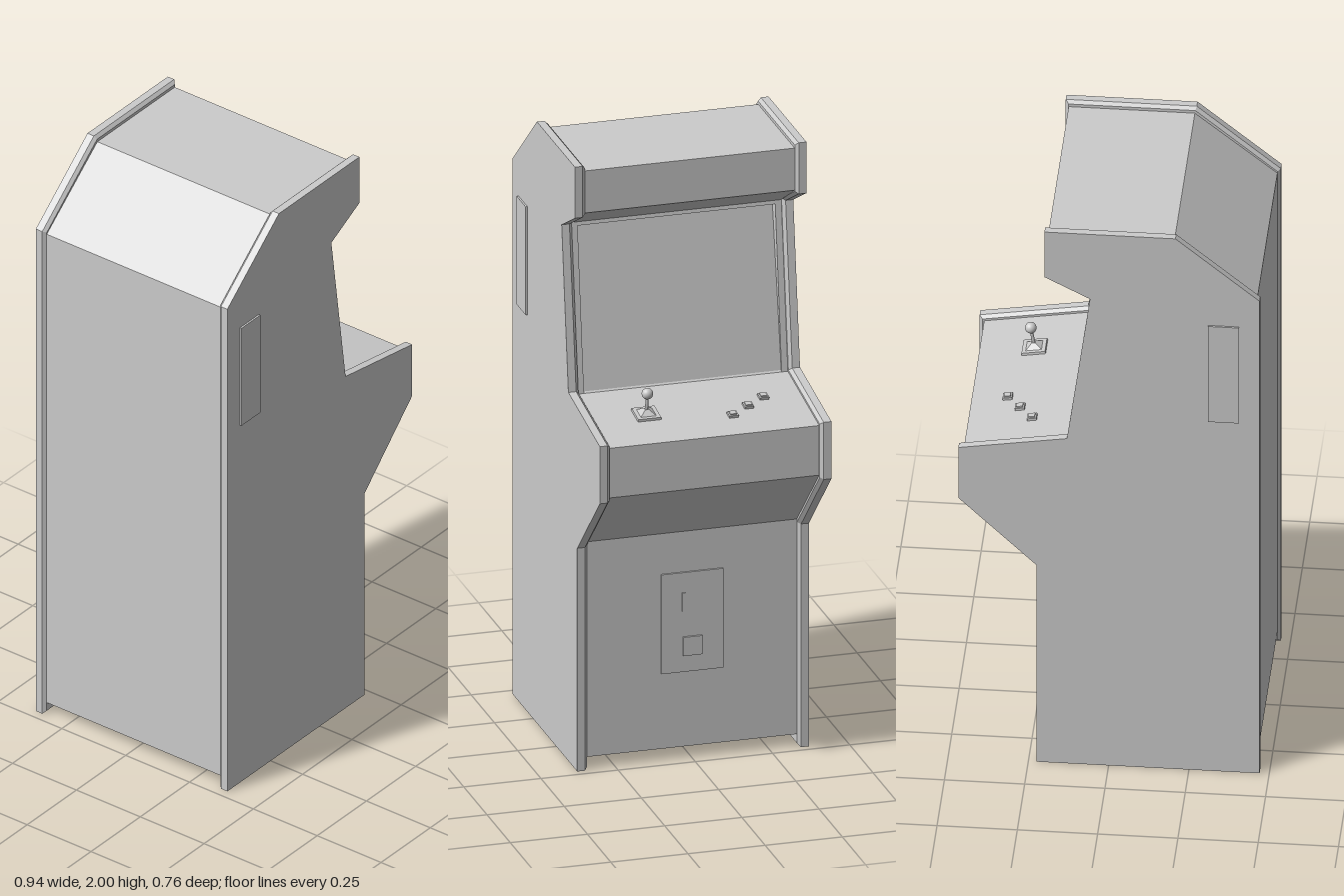
import * as THREE from 'three';

const material = new THREE.MeshStandardMaterial({ color: 0xcccccc, flatShading: true });
const smooth = new THREE.MeshStandardMaterial({ color: 0xcccccc });

// Outlines in the x-y plane, extruded across z
const sideOutline = [
  [-0.47, 0], [0.225, 0], [0.225, 0.742], [0.468, 0.98], [0.468, 1.17], [0.13, 1.225],
  [0.058, 1.756], [0.2, 1.83], [0.2, 2], [-0.208, 2], [-0.47, 1.781],
];
const bodyOutline = [
  [-0.46, 0.04], [0.212, 0.04], [0.212, 0.755], [0.453, 0.99], [0.453, 1.155], [0.115, 1.21],
  [0.045, 1.755], [0.19, 1.84], [0.19, 1.98], [-0.203, 1.98], [-0.46, 1.77],
];
// Same body with the screen sunk back towards its top edge
const screenOutline = [
  ...bodyOutline.slice(0, 6), [0.11, 1.215], [0.015, 1.737], [0.047, 1.743], ...bodyOutline.slice(6),
];

const toShape = (points) => new THREE.Shape(points.map(([x, y]) => new THREE.Vector2(x, y)));

function add(parent, name, geometry, x = 0, y = 0, z = 0, mat = material) {
  const mesh = new THREE.Mesh(geometry, mat);
  mesh.name = name;
  mesh.position.set(x, y, z);
  parent.add(mesh);
  return mesh;
}

function slab(points, z0, z1) {
  return new THREE.ExtrudeGeometry(toShape(points), { depth: z1 - z0, bevelEnabled: false }).translate(0, 0, z0);
}

// Side panel with its inner edge bevelled and its outer face flat
function sidePanel(side) {
  const depth = 0.025, bevel = 0.01;
  const geometry = new THREE.ExtrudeGeometry(toShape(sideOutline), {
    depth, bevelThickness: bevel, bevelSize: bevel, bevelOffset: -bevel, bevelSegments: 1,
  });
  const p = geometry.attributes.position;
  for (let i = 0; i < p.count; i++) {
    const z = p.getZ(i);
    p.setZ(i, side > 0 ? Math.min(z, depth) : Math.max(z, 0));
  }
  geometry.translate(0, 0, side > 0 ? 0.35 : -0.375);
  geometry.computeVertexNormals();
  return geometry;
}

// Square frustum standing on y = 0
function frustum(top, bottom, height) {
  return new THREE.CylinderGeometry(top * Math.SQRT1_2, bottom * Math.SQRT1_2, height, 4)
    .rotateY(Math.PI / 4).translate(0, height / 2, 0);
}

export function createModel() {
  const model = new THREE.Group();
  model.name = 'arcadeCabinet';

  // Cabinet body: recessed middle and two narrow screen borders
  add(model, 'cabinetBody', slab(screenOutline, -0.32, 0.32));
  for (const side of [-1, 1]) {
    add(model, 'screenBorder', slab(bodyOutline, side > 0 ? 0.32 : -0.34, side > 0 ? 0.34 : -0.32));
    add(model, 'sidePanel', sidePanel(side));
    // Thin raised plate on the outside of each panel
    add(model, 'sidePlate', new THREE.BoxGeometry(0.096, 0.36, 0.008), -0.358, 1.5, side * 0.377);
  }

  // Control deck, tilted with the sloping panel
  const slope = Math.atan2(0.055, 0.338);
  const deckPart = (name, x, z) => {
    const group = new THREE.Group();
    group.name = name;
    group.position.set(x, 1.21 - (x - 0.115) * Math.tan(slope), z);
    group.rotation.z = -slope;
    model.add(group);
    return group;
  };
  const joystick = deckPart('joystick', 0.28, 0.168);
  add(joystick, 'joystickBase', frustum(0.074, 0.076, 0.008));
  add(joystick, 'joystickBoot', frustum(0.012, 0.05, 0.014), 0, 0.008);
  add(joystick, 'joystickShaft', new THREE.CylinderGeometry(0.005, 0.005, 0.07, 12), 0, 0.035, 0, smooth);
  add(joystick, 'joystickBall', new THREE.SphereGeometry(0.018, 20, 14), 0, 0.076, 0, smooth);

  for (const [x, z] of [[0.252, -0.219], [0.295, -0.157], [0.339, -0.094]]) {
    const button = deckPart('button', x, z);
    add(button, 'buttonBase', frustum(0.03, 0.03, 0.008));
    add(button, 'buttonCap', frustum(0.02, 0.022, 0.012));
  }

  // Coin door on the lower front
  add(model, 'coinDoor', new THREE.BoxGeometry(0.01, 0.33, 0.2), 0.213, 0.455, 0);
  add(model, 'coinSlot', new THREE.BoxGeometry(0.012, 0.062, 0.01), 0.216, 0.523, 0.028);
  add(model, 'coinReturn', new THREE.BoxGeometry(0.016, 0.062, 0.062), 0.217, 0.376, 0);

  return model;
}
